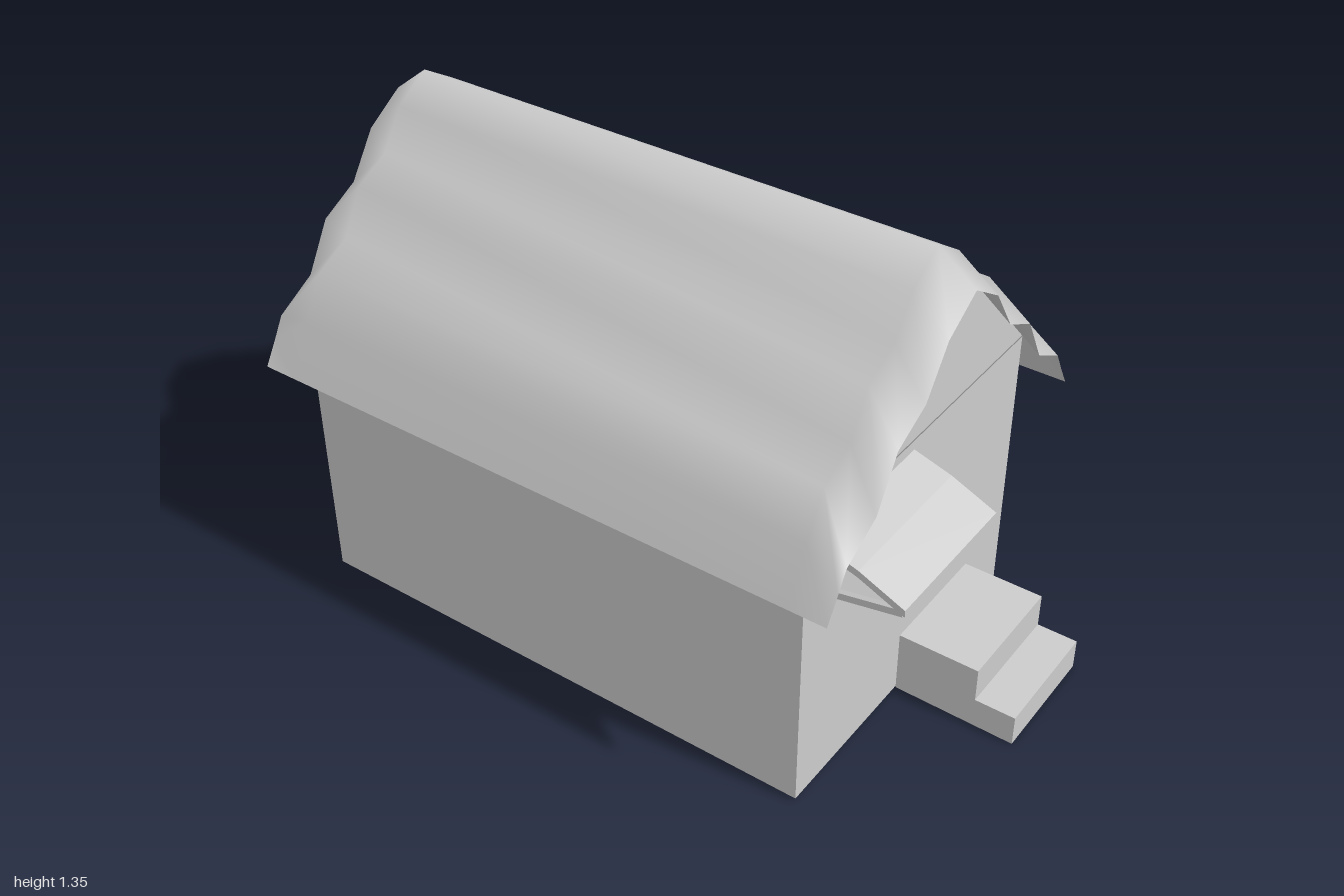
import * as THREE from 'three';

const smooth = new THREE.MeshStandardMaterial({ color: 0xcccccc, side: THREE.DoubleSide });
const flat = new THREE.MeshStandardMaterial({ color: 0xcccccc, side: THREE.DoubleSide, flatShading: true });

const FRONT = 0.655, BACK = -0.895, HALF = 0.515;

// Skin a row of cross-sections, each a list of [x, y, z] points
function loft(sections) {
  const n = sections[0].length, index = [];
  for (let i = 0; i < sections.length - 1; i++) {
    for (let j = 0; j < n - 1; j++) {
      const a = i * n + j, b = a + 1, c = a + n, d = c + 1;
      index.push(a, b, d, a, d, c);
    }
  }
  const g = new THREE.BufferGeometry();
  g.setAttribute('position', new THREE.Float32BufferAttribute(sections.flat(2), 3));
  g.setIndex(index);
  g.computeVertexNormals();
  return g;
}

const toShape = (points) => new THREE.Shape(points.map(([x, y]) => new THREE.Vector2(x, y)));

// Turn a half profile, listed from ridge to eave, into a full one from -x to +x
const mirrored = (half) => [...half.slice(1).reverse().map(([x, y]) => [-x, y]), ...half];

export function createModel() {
  const model = new THREE.Group();
  const add = (name, geometry, material = flat, parent = model) => {
    const mesh = new THREE.Mesh(geometry, material);
    mesh.name = name;
    parent.add(mesh);
    return mesh;
  };

  // Foundation and walls: open four-sided bands
  const band = (y) => [[-HALF, y, FRONT], [HALF, y, FRONT], [HALF, y, BACK], [-HALF, y, BACK], [-HALF, y, FRONT]];
  add('foundation', loft([band(0.01), band(0.19)]));
  add('walls', loft([band(0.19), band(0.77), band(0.825)]));

  // Wavy thatched roof, its ends drooping over the gables
  const crown = [[0, 1.35], [0.105, 1.285], [0.173, 1.18], [0.28, 1.125], [0.345, 1.005],
    [0.45, 0.948], [0.518, 0.83], [0.585, 0.685]];
  const rim = [[0, 1.268], [0.115, 1.195], [0.2, 1.07], [0.315, 1.01], [0.393, 0.875],
    [0.512, 0.808], [0.545, 0.75], [0.585, 0.685]];
  const at = (half, z) => mirrored(half).map(([x, y]) => [x, y, z]);
  add('roof', loft([at(rim, 0.76), at(crown, FRONT), at(crown, BACK), at(rim, -1)]), smooth);

  // Gables
  const gable = new THREE.ShapeGeometry(toShape(mirrored(crown.slice(0, -1))));
  add('frontGable', gable).position.z = FRONT;
  const backGable = add('backGable', gable);
  backGable.position.z = BACK;
  backGable.rotation.y = Math.PI;

  // Parts drawn as a [z, y] profile and stretched across x, with end faces
  const across = (name, profile, x0, x1) => {
    const group = new THREE.Group();
    group.name = name;
    model.add(group);
    const section = (x) => profile.map(([z, y]) => [x, y, z]);
    add(name + 'Surface', loft([section(x0), section(x1)]), flat, group);
    const end = new THREE.ShapeGeometry(toShape(profile)).rotateY(-Math.PI / 2);
    add(name + 'RightEnd', end, flat, group).position.x = x0;
    const left = add(name + 'LeftEnd', end.clone().rotateY(Math.PI).scale(1, 1, -1), flat, group);
    left.position.x = x1;
  };

  // Front steps, open underneath
  across('steps', [[FRONT, 0.19], [0.885, 0.19], [0.885, 0.09], [1, 0.09], [1, 0], [FRONT, 0.005]], -0.03, 0.32);

  // Awning over the window
  across('awning', [[FRONT, 0.797], [0.76, 0.765], [0.885, 0.71], [0.885, 0.69],
    [0.76, 0.745], [FRONT, 0.777], [FRONT, 0.797]], -0.46, -0.035);

  // Slanted awning struts
  for (const [x0, x1] of [[-0.452, -0.415], [-0.043, -0.08]]) {
    const from = new THREE.Vector3(x0, 0.697, 0.878), to = new THREE.Vector3(x1, 0.62, FRONT);
    const strut = add('awningStrut', new THREE.BoxGeometry(0.016, 0.018, from.distanceTo(to)));
    strut.position.copy(from).add(to).multiplyScalar(0.5);
    strut.lookAt(to);
  }
  return model;
}
